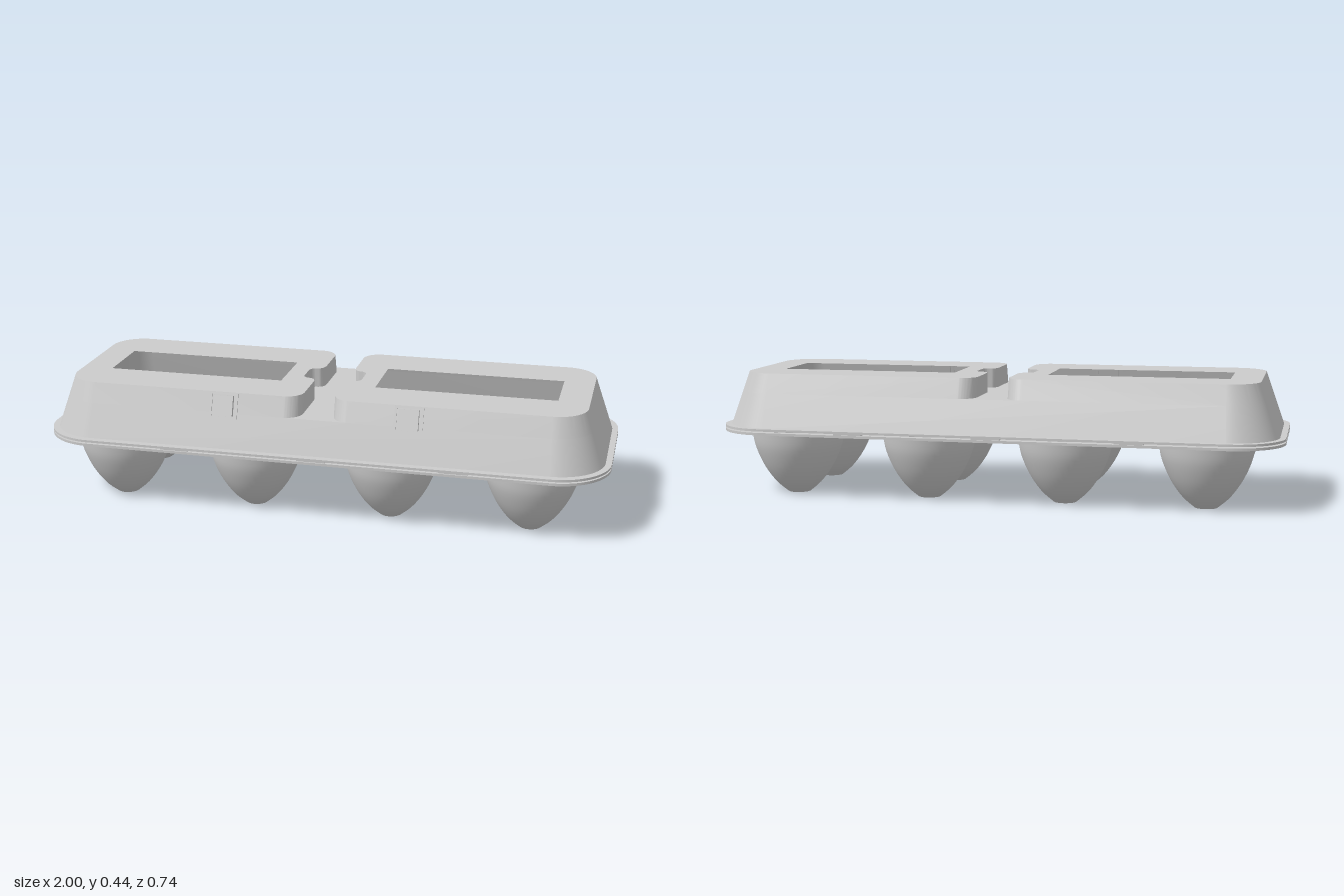
import * as THREE from 'three';
import { toCreasedNormals } from 'three/addons/utils/BufferGeometryUtils.js';

const mat = new THREE.MeshStandardMaterial({ color: 0xcccccc, side: THREE.DoubleSide });

function add(parent, name, geometry, x = 0, y = 0, z = 0) {
  const mesh = new THREE.Mesh(geometry, mat);
  mesh.name = name;
  mesh.position.set(x, y, z);
  parent.add(mesh);
  return mesh;
}

function roundedRect(hx, hz, r, Kind = THREE.Shape) {
  const s = new Kind();
  s.moveTo(-hx + r, -hz);
  s.lineTo(hx - r, -hz);
  s.absarc(hx - r, -hz + r, r, -Math.PI / 2, 0);
  s.lineTo(hx, hz - r);
  s.absarc(hx - r, hz - r, r, 0, Math.PI / 2);
  s.lineTo(-hx + r, hz);
  s.absarc(-hx + r, hz - r, r, Math.PI / 2, Math.PI);
  s.lineTo(-hx, -hz + r);
  s.absarc(-hx + r, -hz + r, r, Math.PI, Math.PI * 1.5);
  return s;
}

// Lid wall half sizes and corner radius at a given height
const Y0 = 0.245, YC = 0.365, Y1 = 0.435;
function lidSize(y) {
  const t = (y - Y0) / (Y1 - Y0);
  return [0.98 - 0.067 * t, 0.345 - 0.062 * t, 0.17 - 0.06 * t];
}

// One raised half of the lid, its inner edge following the centre channel
function halfOutline(y) {
  const [hx, hz, r] = lidSize(y);
  const s = new THREE.Shape();
  s.moveTo(0.115, -hz);
  s.lineTo(hx - r, -hz);
  s.absarc(hx - r, -hz + r, r, -Math.PI / 2, 0);
  s.lineTo(hx, hz - r);
  s.absarc(hx - r, hz - r, r, 0, Math.PI / 2);
  s.lineTo(0.115, hz);
  s.absarc(0.115, hz - 0.06, 0.06, Math.PI / 2, Math.PI);
  s.lineTo(0.055, 0.1);
  s.quadraticCurveTo(0.055, 0.062, 0.08, 0.058);
  s.quadraticCurveTo(0.105, 0.055, 0.105, 0.03);
  s.lineTo(0.105, -0.03);
  s.quadraticCurveTo(0.105, -0.055, 0.08, -0.058);
  s.quadraticCurveTo(0.055, -0.062, 0.055, -0.1);
  s.lineTo(0.055, -hz + 0.06);
  s.absarc(0.115, -hz + 0.06, 0.06, Math.PI, Math.PI * 1.5);
  return s;
}

// Wall between two outlines with matching points
function loft(shapeA, ya, shapeB, yb) {
  const a = shapeA.getPoints(10), b = shapeB.getPoints(10);
  const pos = [], n = Math.min(a.length, b.length);
  const put = (p, y) => pos.push(p.x, y, -p.y);
  for (let i = 0; i < n; i++) {
    const j = (i + 1) % n;
    if (a[i].distanceTo(a[j]) < 1e-5) continue;
    put(a[i], ya); put(a[j], ya); put(b[j], yb);
    put(a[i], ya); put(b[j], yb); put(b[i], yb);
  }
  const g = new THREE.BufferGeometry();
  g.setAttribute('position', new THREE.Float32BufferAttribute(pos, 3));
  g.computeVertexNormals();
  return toCreasedNormals(g, 0.5);
}

function plate(shape, depth) {
  const g = new THREE.ExtrudeGeometry(shape, { depth, bevelEnabled: false, curveSegments: 24 });
  return toCreasedNormals(g.rotateX(-Math.PI / 2), 0.5);
}

export function createModel() {
  const model = new THREE.Group();
  const tray = new THREE.Group(), lid = new THREE.Group();
  tray.name = 'tray';
  lid.name = 'lid';
  model.add(tray, lid);

  // Tray plate with eight openings and a hollow cup under each
  const deck = roundedRect(1, 0.37, 0.19);
  const cupPoints = [[0.04, 0], [0.08, 0.035], [0.115, 0.082], [0.14, 0.13], [0.157, 0.178], [0.165, 0.228]];
  const curve = new THREE.SplineCurve(cupPoints.map(p => new THREE.Vector2(...p)));
  const cupGeo = new THREE.LatheGeometry(curve.getPoints(20), 48);
  const floorGeo = new THREE.CircleGeometry(0.04, 48).rotateX(Math.PI / 2);
  for (const x of [-0.735, -0.245, 0.245, 0.735]) {
    for (const z of [-0.18, 0.18]) {
      deck.holes.push(new THREE.Path().absarc(x, z, 0.164, 0, Math.PI * 2, true));
      add(tray, 'eggCup', cupGeo, x, 0, z).scale.z = 1.03;
      add(tray, 'cupFloor', floorGeo, x, 0, z).scale.z = 1.03;
    }
  }
  add(tray, 'trayPlate', plate(deck, 0.009), 0, 0.225, 0);

  // Thin spacers between tray and lid rims
  for (const s of [-1, 1]) {
    add(tray, 'endSpacer', new THREE.BoxGeometry(0.02, 0.005, 0.1), s * 0.985, 0.2365, 0);
    for (const x of [-0.49, 0, 0.49]) {
      add(tray, 'sideSpacer', new THREE.BoxGeometry(0.1, 0.005, 0.02), x, 0.2365, s * 0.355);
    }
  }

  // Posts and saddles between the cups, seen through the windows
  const postCurve = new THREE.SplineCurve([[0.12, 0], [0.116, 0.05], [0.095, 0.105], [0.045, 0.14]].map(p => new THREE.Vector2(...p)));
  const postGeo = new THREE.LatheGeometry([...postCurve.getPoints(14).map(p => p.clone()), new THREE.Vector2(0, 0.14)], 48);
  const pp = postGeo.attributes.position;
  for (let i = 0; i < pp.count; i++) {
    pp.setX(i, THREE.MathUtils.clamp(pp.getX(i), -0.108, 0.108));
    pp.setZ(i, pp.getZ(i) * 0.88);
  }
  postGeo.computeVertexNormals();
  const arch = (r0, r1, len) => new THREE.CylinderGeometry(r1, r0, len, 32, 1, false, 0, Math.PI).rotateZ(Math.PI / 2);
  for (const s of [-1, 1]) {
    const post = new THREE.Group();
    post.name = 'centrePost';
    post.position.set(s * 0.49, 0.232, 0);
    tray.add(post);
    add(post, 'postDome', postGeo);
    add(post, 'postCap', new THREE.CylinderGeometry(0.045, 0.045, 0.004, 4), 0, 0.141, 0);
    for (const d of [-1, 1]) {
      const side = new THREE.Group();
      side.name = 'saddle';
      side.rotation.y = d > 0 ? 0 : Math.PI;
      post.add(side);
      add(side, 'saddleNeck', arch(0.058, 0.058, 0.12), 0.155, 0, 0);
      add(side, 'saddleRib', arch(0.065, 0.065, 0.015), 0.16, 0, 0);
      add(side, 'saddleFlare', arch(0.09, 0.055, 0.13), 0.275, 0, 0);
    }
  }

  // Lid rim and lower wall
  const [bx, bz, br] = lidSize(Y0);
  const rim = roundedRect(1, 0.37, 0.19);
  rim.holes.push(roundedRect(bx - 0.01, bz - 0.01, br, THREE.Path));
  add(lid, 'lidRim', plate(rim, 0.008), 0, 0.239, 0);
  add(lid, 'lidWall', loft(roundedRect(bx, bz, br), Y0, roundedRect(...lidSize(YC)), YC));

  // Channel floor across the middle
  const channel = new THREE.PlaneGeometry(0.23, lidSize(YC)[1] * 2).rotateX(-Math.PI / 2);
  add(lid, 'channelFloor', channel, 0, YC, 0);

  // Two raised halves, each with a window and a front latch
  const topShape = halfOutline(Y1);
  const win = new THREE.Path();
  win.moveTo(0.17, -0.112);
  win.lineTo(0.17, 0.112);
  win.lineTo(0.805, 0.112);
  win.lineTo(0.805, -0.112);
  win.closePath();
  topShape.holes.push(win);
  const wallGeo = loft(halfOutline(YC), YC, topShape, Y1);
  const topGeo = new THREE.ShapeGeometry(topShape, 10).rotateX(-Math.PI / 2);
  for (const s of [-1, 1]) {
    const half = new THREE.Group();
    half.name = s > 0 ? 'leftLidHalf' : 'rightLidHalf';
    half.scale.x = s;
    lid.add(half);
    add(half, 'raisedWall', wallGeo);
    add(half, 'lidTop', topGeo, 0, Y1, 0);

    const latch = new THREE.Group();
    latch.name = 'latch';
    latch.position.set(0.325, 0.39, 0.298);
    latch.rotation.x = -Math.atan(0.062 / 0.19);
    half.add(latch);
    add(latch, 'latchTab', new THREE.BoxGeometry(0.07, 0.07, 0.026));
    for (const d of [-1, 1]) {
      add(latch, 'latchFrameSide', new THREE.BoxGeometry(0.008, 0.092, 0.006), d * 0.046, 0, 0);
      add(latch, 'latchFrameBar', new THREE.BoxGeometry(0.1, 0.008, 0.006), 0, d * 0.042, 0);
    }
  }
  return model;
}
